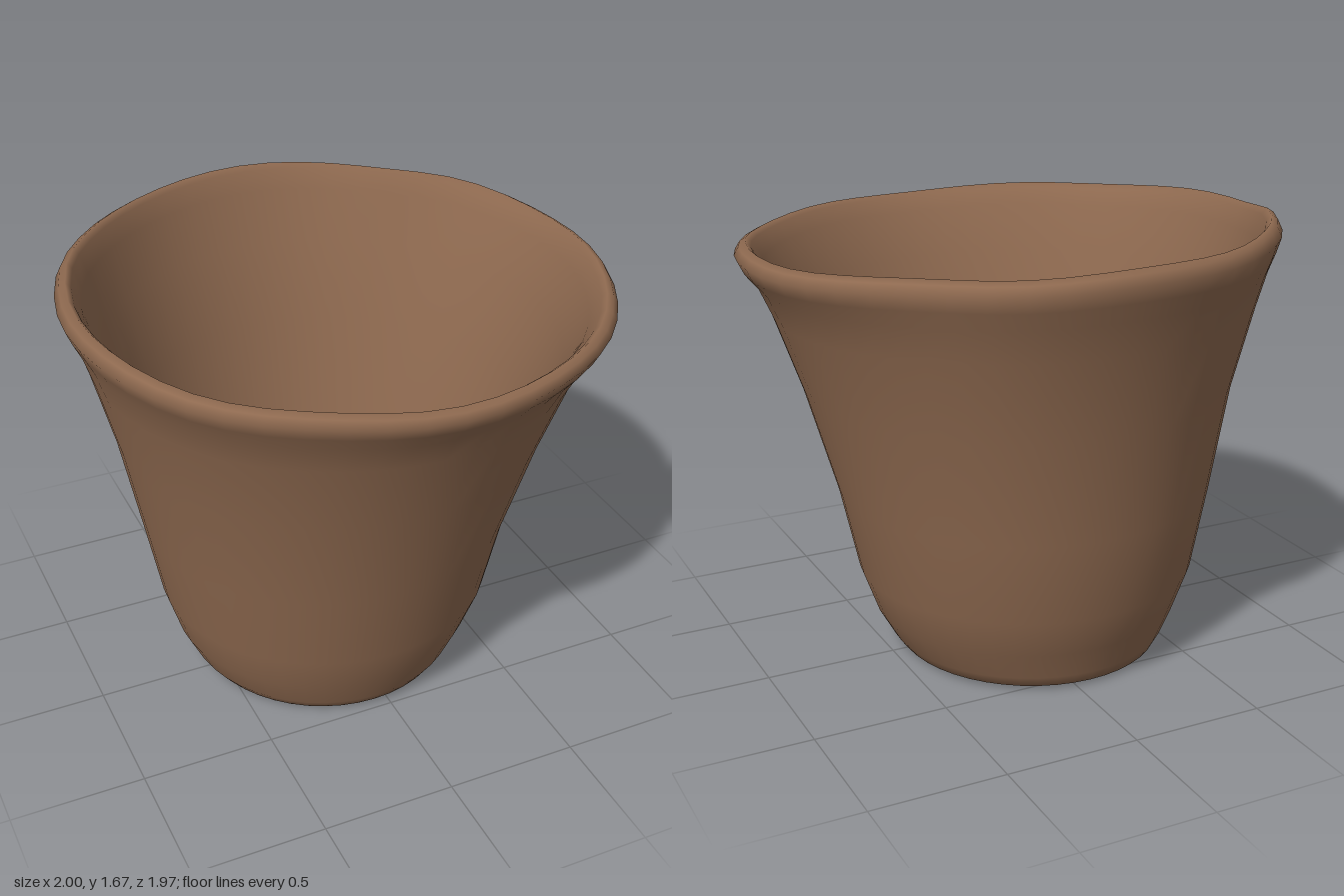
import * as THREE from 'three';

const SEGMENTS = 48;

// Cross-sections: [height, centre x, centre z, radius x, radius z]
const DRAIN = [-0.17, 0.03];
const RINGS = [
  // underside, from the drain hole outwards
  [0.05, ...DRAIN, 0.038, 0.04],
  [0.03, ...DRAIN, 0.055, 0.058],
  [0.012, -0.16, 0.02, 0.11, 0.11],
  [0.004, -0.11, -0.02, 0.28, 0.28],
  [0.005, -0.07, -0.04, 0.42, 0.43],
  [0.02, -0.055, -0.05, 0.505, 0.52],
  // outer wall
  [0.06, -0.055, -0.045, 0.535, 0.54],
  [0.17, -0.05, -0.045, 0.592, 0.578],
  [0.33, -0.045, -0.048, 0.645, 0.64],
  [0.65, -0.04, -0.045, 0.71, 0.7],
  [1.05, -0.025, -0.02, 0.805, 0.79],
  [1.35, -0.013, -0.015, 0.895, 0.885],
  [1.47, -0.008, -0.008, 0.94, 0.935],
  // rolled rim
  [1.53, 0, -0.003, 0.978, 0.968],
  [1.58, 0, 0, 1.0, 0.987],
  [1.612, 0, 0, 0.982, 0.972],
  [1.626, 0, 0, 0.957, 0.95],
  [1.607, 0, 0, 0.938, 0.932],
  // inner wall
  [1.54, -0.003, -0.005, 0.905, 0.898],
  [1.35, -0.013, -0.015, 0.84, 0.83],
  [1.05, -0.025, -0.02, 0.75, 0.737],
  [0.65, -0.04, -0.045, 0.655, 0.647],
  [0.33, -0.045, -0.048, 0.58, 0.575],
  [0.18, -0.04, -0.05, 0.52, 0.52],
  [0.11, -0.035, -0.055, 0.455, 0.465],
  // inner floor, back to the drain hole
  [0.095, -0.06, -0.04, 0.38, 0.39],
  [0.09, -0.12, 0, 0.22, 0.22],
  [0.08, -0.165, 0.025, 0.085, 0.085],
  [0.065, ...DRAIN, 0.045, 0.047],
];

// Smooth bump around a given angle
function bump(angle, centre, width) {
  const d = Math.atan2(Math.sin(angle - centre), Math.cos(angle - centre));
  return Math.exp(-((d / width) ** 2));
}

function potGeometry() {
  const positions = [];
  const indices = [];
  RINGS.forEach(([y, cx, cz, rx, rz], ring) => {
    const high = Math.pow(y / 1.6, 6);
    for (let i = 0; i < SEGMENTS; i++) {
      const a = (i / SEGMENTS) * Math.PI * 2;
      // hand-made unevenness grows towards the rim
      const dent = 1 - high * (0.03 * bump(a, -0.9, 0.25) + 0.012 * bump(a, 2.0, 0.3)
        + 0.012 * bump(a, -2.3, 0.3));
      const x = cx + rx * Math.cos(a) * dent;
      const z = cz + rz * Math.sin(a) * dent;
      const lift = high * (-0.02 * x - 0.036 * z + 0.015 * bump(a, -2.75, 0.15)
        + 0.004 * Math.sin(7 * a));
      positions.push(x, y + lift, z);

      // join to the next ring, closing through the drain hole
      const next = (ring + 1) % RINGS.length;
      const j = (i + 1) % SEGMENTS;
      const p = ring * SEGMENTS + i, q = ring * SEGMENTS + j;
      const r = next * SEGMENTS + i, s = next * SEGMENTS + j;
      indices.push(p, r, q, q, r, s);
    }
  });
  const geometry = new THREE.BufferGeometry();
  geometry.setAttribute('position', new THREE.Float32BufferAttribute(positions, 3));
  geometry.setIndex(indices);
  geometry.computeVertexNormals();
  return geometry;
}

export function createModel() {
  const group = new THREE.Group();
  group.name = 'flowerPot';
  const clay = new THREE.MeshStandardMaterial({ color: 0x8f6a50 });
  clay.name = 'brown clay';
  const pot = new THREE.Mesh(potGeometry(), clay);
  pot.name = 'potBody';
  group.add(pot);
  return group;
}
